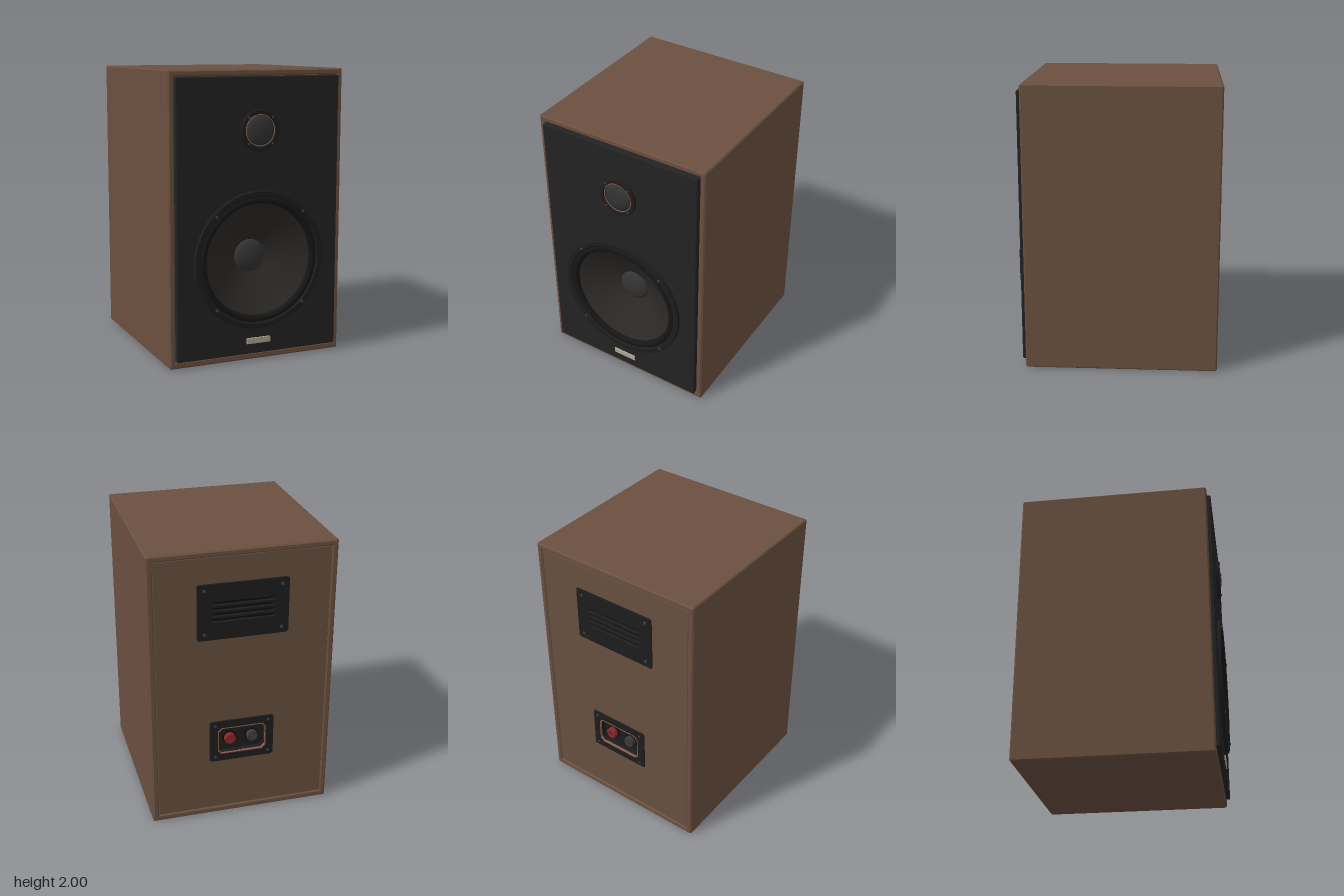
import * as THREE from 'three';
import { toCreasedNormals } from 'three/addons/utils/BufferGeometryUtils.js';

const mat = (color, side = THREE.FrontSide) => new THREE.MeshStandardMaterial({ color, side });
const WOOD = mat(0x6b5040), BACK = mat(0x67503f), BAFFLE = mat(0x232323), PLASTIC = mat(0x1d1d1d, THREE.DoubleSide),
  RUBBER = mat(0x161616, THREE.DoubleSide), CONE = mat(0x2c2926, THREE.DoubleSide), CAP = mat(0x343434),
  COPPER = mat(0x8a5c48), SCREW = mat(0x3a3a3a), BADGE = mat(0xb0a590), RED = mat(0x8c2424), DARK = mat(0x0e0e0e);

function add(parent, name, geometry, material, x = 0, y = 0, z = 0) {
  const m = new THREE.Mesh(geometry, material);
  m.name = name;
  m.position.set(x, y, z);
  parent.add(m);
  return m;
}

function group(parent, name, x = 0, y = 0, z = 0) {
  const g = new THREE.Group();
  g.name = name;
  g.position.set(x, y, z);
  parent.add(g);
  return g;
}

// Rectangle outline with cut corners
function rect(w, h, c = 0, x = 0, y = 0, Type = THREE.Shape) {
  const a = w / 2, b = h / 2;
  const p = c > 0
    ? [[-a + c, -b], [a - c, -b], [a, -b + c], [a, b - c], [a - c, b], [-a + c, b], [-a, b - c], [-a, -b + c]]
    : [[-a, -b], [a, -b], [a, b], [-a, b]];
  return new Type(p.map(([u, v]) => new THREE.Vector2(u + x, v + y)));
}
const rectHole = (w, h, c, x, y) => rect(w, h, c, x, y, THREE.Path);
const roundHole = (r, x, y) => new THREE.Path().absarc(x, y, r, 0, Math.PI * 2);

// Bevelled slab between two depths, with holes
function slab(shape, z0, z1, bevel, holes = []) {
  shape.holes.push(...holes);
  const g = new THREE.ExtrudeGeometry(shape, {
    depth: z1 - z0 - 2 * bevel, bevelEnabled: bevel > 0, bevelSize: bevel,
    bevelThickness: bevel, bevelOffset: -bevel, bevelSegments: 1, curveSegments: 48,
  });
  g.translate(0, 0, z0 + bevel);
  return toCreasedNormals(g, 0.4);
}

// Turned part about z; profile of [radius, z] runs from the outside inwards
function turned(profile, segments = 64) {
  const g = new THREE.LatheGeometry(profile.map(([r, z]) => new THREE.Vector2(r, z)), segments);
  g.rotateX(Math.PI / 2);
  return toCreasedNormals(g, 0.5);
}

// Dome profile from its rim to its apex
const dome = (r, z, height, n = 10) => Array.from({ length: n + 1 }, (_, i) => {
  const t = (i / n) * Math.PI / 2;
  return [r * Math.cos(t), z + height * Math.sin(t)];
});

// Four screws on the corners of a rectangle
function screws(parent, dx, dy, z, r) {
  for (const sx of [-1, 1]) for (const sy of [-1, 1]) {
    const s = group(parent, 'screw', sx * dx, sy * dy, z);
    add(s, 'screwHead', turned([[r, -0.012], [r, 0.004], [r * 0.75, 0.008], [r * 0.45, 0.008], [r * 0.4, 0.004], [0, 0.004]], 16), SCREW);
  }
}

function buildWoofer(parent) {
  const g = group(parent, 'woofer', 0, 0.71, 0.675);
  add(g, 'wooferFlange', turned([[0.478, -0.01], [0.478, 0.021], [0.474, 0.025], [0.444, 0.025], [0.438, 0.019], [0.43, 0.01], [0.43, -0.03]], 96), PLASTIC);
  const roll = Array.from({ length: 13 }, (_, i) => {
    const t = (i / 12) * Math.PI;
    return [0.414 + 0.024 * Math.cos(t), 0.002 + 0.02 * Math.sin(t)];
  });
  add(g, 'surround', turned([...roll, [0.388, -0.012]], 96), RUBBER);
  add(g, 'cone', turned([[0.397, -0.004], [0.3, -0.062], [0.2, -0.115], [0.105, -0.16]], 96), CONE);
  add(g, 'dustCap', turned(dome(0.115, -0.157, 0.045)), CAP);
  screws(g, 0.323, 0.32, 0.025, 0.011);
}

function buildTweeter(parent) {
  const g = group(parent, 'tweeter', 0, 1.595, 0.675);
  add(g, 'tweeterFlange', turned([[0.14, -0.01], [0.14, 0.016], [0.136, 0.02], [0.112, 0.02], [0.106, 0.008], [0.09, 0.006]]), PLASTIC);
  const ring = new THREE.TorusGeometry(0.105, 0.0035, 8, 64);
  add(g, 'tweeterRing', ring, COPPER, 0, 0, 0.013);
  add(g, 'tweeterDome', turned(dome(0.1, 0.004, 0.026)), CAP);
  screws(g, 0.088, 0.088, 0.02, 0.008);
}

// Back fittings are built facing +z in a group turned to the rear
function buildVent(parent) {
  const g = group(parent, 'ventPlate', 0, 1.575, 0);
  const slots = [-0.06, -0.02, 0.02, 0.06].map((y) => rectHole(0.42, 0.02, 0.004, 0, y));
  add(g, 'ventFace', slab(rect(0.63, 0.4, 0.012), 0.672, 0.696, 0.004, slots), PLASTIC);
  add(g, 'ventShadow', new THREE.BoxGeometry(0.46, 0.18, 0.004), DARK, 0, 0, 0.688 - 0.012);
  screws(g, 0.265, 0.155, 0.695, 0.012);
}

function buildTerminals(parent) {
  const g = group(parent, 'terminalPlate', 0, 0.59, 0);
  add(g, 'terminalFace', slab(rect(0.46, 0.32, 0.012), 0.672, 0.696, 0.004, [rectHole(0.34, 0.2, 0.025, 0, 0)]), PLASTIC);
  add(g, 'cupRim', slab(rect(0.346, 0.206, 0.025), 0.68, 0.698, 0, [rectHole(0.334, 0.194, 0.025, 0, 0)]), COPPER);
  add(g, 'cupWall', slab(rect(0.345, 0.205, 0.025), 0.64, 0.685, 0, [rectHole(0.334, 0.194, 0.025, 0, 0)]), PLASTIC);
  add(g, 'cupFloor', new THREE.BoxGeometry(0.345, 0.205, 0.01), PLASTIC, 0, 0, 0.641);
  for (const [x, material, name] of [[-0.08, RED, 'redPost'], [0.08, SCREW, 'blackPost']]) {
    const post = group(g, name, x, 0, 0.645);
    add(post, 'postCollar', turned([[0.05, 0], [0.05, 0.012], [0, 0.012]], 32), DARK);
    add(post, 'postKnob', turned([[0.04, 0], [0.04, 0.04], [0.035, 0.046], [0.016, 0.046], [0.015, 0.03], [0, 0.03]], 24), material);
    add(post, 'postPin', turned([[0.009, 0.02], [0.009, 0.048], [0, 0.048]], 16), SCREW);
  }
  screws(g, 0.19, 0.125, 0.695, 0.01);
}

export function createModel() {
  const model = new THREE.Group();
  model.name = 'speaker';

  // Wooden shell, open at both ends
  add(model, 'cabinetShell', slab(rect(1.286, 2, 0.008, 0, 1), -0.696, 0.648, 0.01,
    [rectHole(1.2, 1.91, 0, 0, 1.002)]), WOOD);

  // Front baffle with openings for the drivers
  add(model, 'frontBaffle', slab(rect(1.2, 1.905, 0.004, 0, 1.002), 0.6, 0.675, 0.005,
    [roundHole(0.45, 0, 0.71)]), BAFFLE);
  buildWoofer(model);
  buildTweeter(model);
  add(model, 'badge', slab(rect(0.18, 0.042, 0.003, 0, 0.142), 0.67, 0.683, 0.002), BADGE);

  // Rear panel and its fittings
  const rear = group(model, 'rear');
  rear.rotation.y = Math.PI;
  add(rear, 'rearPanel', slab(rect(1.2, 1.91, 0, 0, 1.002), 0.63, 0.688, 0.003,
    [rectHole(0.36, 0.22, 0, 0, 0.59), rectHole(0.47, 0.19, 0, 0, 1.575)]), BACK);
  buildVent(rear);
  buildTerminals(rear);
  return model;
}
